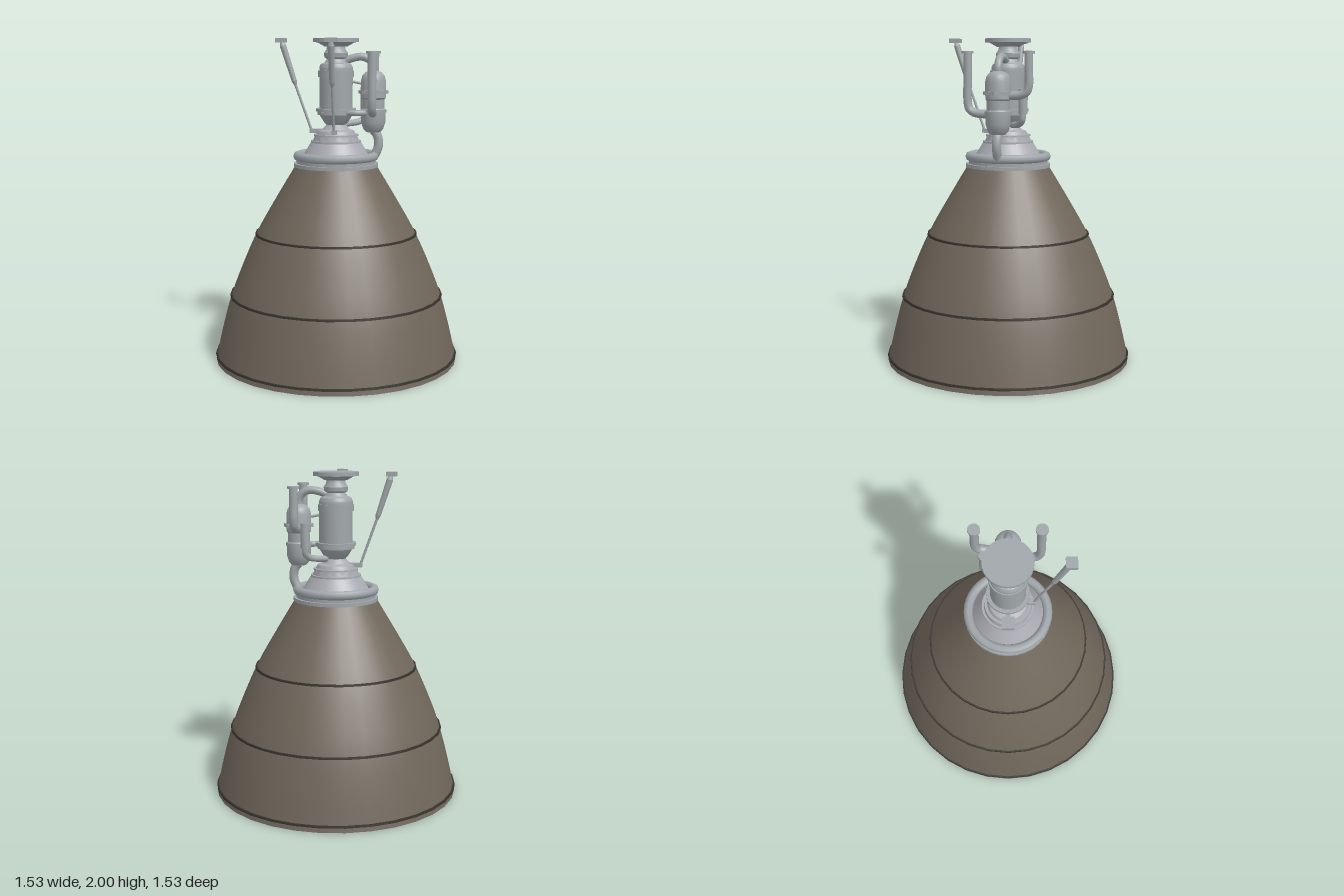
import * as THREE from 'three';
import { toCreasedNormals } from 'three/addons/utils/BufferGeometryUtils.js';

const flat = (name, color, side = THREE.FrontSide) => {
  const m = new THREE.MeshStandardMaterial({ color, side });
  m.name = name;
  return m;
};

export function createModel() {
  const bellBrown = flat('bell brown', 0x70675b, THREE.DoubleSide);
  const bandBrown = flat('dark band', 0x38332d);
  const steel = flat('steel', 0xa0a6aa);
  const paleSteel = flat('pale steel', 0xaaabb2);

  const model = new THREE.Group();
  model.name = 'rocketEngine';

  const add = (name, geometry, material, parent = model) => {
    const mesh = new THREE.Mesh(geometry, material);
    mesh.name = name;
    parent.add(mesh);
    return mesh;
  };
  const v2 = (pts) => pts.map(([r, y]) => new THREE.Vector2(r, y));
  const v3 = (pts) => pts.map((p) => new THREE.Vector3(...p));

  // Turned part: profile of [radius, y] from bottom to top
  const turned = (name, pts, material, x = 0, z = 0, sides = 28, parent = model) => {
    const g = toCreasedNormals(new THREE.LatheGeometry(v2(pts), sides), 0.5);
    const mesh = add(name, g, material, parent);
    mesh.position.set(x, 0, z);
    return mesh;
  };
  const disc = (name, r, y0, y1, material, x = 0, z = 0, sides = 28) =>
    turned(name, [[0, y0], [r, y0], [r, y1], [0, y1]], material, x, z, sides);
  const pipe = (name, pts, r, material = steel) =>
    add(name, new THREE.TubeGeometry(new THREE.CatmullRomCurve3(v3(pts), false, 'centripetal'), 28, r, 12), material);
  // Straight rod between two points, tapering from r0 to r1
  const rod = (name, a, b, r0, r1, parent) => {
    const [p, q] = v3([a, b]);
    const d = q.clone().sub(p);
    const mesh = add(name, new THREE.CylinderGeometry(r1, r0, d.length(), 12), steel, parent);
    mesh.position.copy(p).add(q).multiplyScalar(0.5);
    mesh.quaternion.setFromUnitVectors(new THREE.Vector3(0, 1, 0), d.normalize());
  };

  // Nozzle bell
  const bell = new THREE.SplineCurve(v2([
    [0.762, 0], [0.717, 0.2], [0.66, 0.41], [0.588, 0.6], [0.498, 0.8], [0.385, 1.0], [0.25, 1.225],
  ]));
  add('nozzleBell', new THREE.LatheGeometry(bell.getPoints(24), 32), bellBrown);

  // Stiffening bands around the bell
  for (const [r, y] of [[0.757, 0.035], [0.661, 0.412], [0.499, 0.798]]) {
    turned('bellBand', [[r, y - 0.006], [r + 0.008, y - 0.006], [r + 0.006, y + 0.006], [r - 0.006, y + 0.006]],
      bandBrown, 0, 0, 32);
  }

  // Collar and manifold ring
  disc('collarFlange', 0.262, 1.215, 1.237, steel, 0, 0, 32);
  disc('collar', 0.245, 1.237, 1.27, steel, 0, 0, 32);
  const manifold = add('manifoldRing', new THREE.TorusGeometry(0.238, 0.028, 8, 40), steel);
  manifold.rotation.x = Math.PI / 2;
  manifold.position.y = 1.28;

  // Stepped chamber dome
  turned('chamberDome', [
    [0.22, 1.26], [0.195, 1.30], [0.155, 1.365], [0.155, 1.376], [0.142, 1.376], [0.132, 1.405],
    [0.138, 1.405], [0.138, 1.415], [0.122, 1.415], [0.112, 1.437], [0.085, 1.445], [0.058, 1.475], [0, 1.475],
  ], paleSteel, 0, 0, 32);

  // Main pump
  turned('mainPump', [
    [0.072, 1.45], [0.06, 1.475], [0.075, 1.49], [0.103, 1.535], [0.103, 1.765], [0.11, 1.765],
    [0.11, 1.805], [0.103, 1.805], [0.103, 1.825], [0.093, 1.845], [0.07, 1.855], [0.056, 1.875],
    [0.072, 1.885], [0.075, 1.91], [0.06, 1.93], [0.056, 1.95], [0.07, 1.95], [0.118, 1.977], [0, 1.977],
  ], steel);
  for (const [r, y] of [[0.125, 1.565], [0.115, 1.545]]) disc('mainPumpFlange', r, y - 0.009, y + 0.009, steel);
  disc('topPlate', 0.14, 1.976, 2, steel);

  // Side pump
  const px = 0.23;
  turned('sidePump', [
    [0, 1.428], [0.045, 1.43], [0.062, 1.45], [0.075, 1.49], [0.075, 1.565], [0.068, 1.575], [0.068, 1.63],
    [0.076, 1.64], [0.076, 1.745], [0.068, 1.775], [0.05, 1.795], [0.025, 1.805], [0, 1.806],
  ], steel, px, 0, 20);
  disc('sidePumpBand', 0.092, 1.665, 1.685, steel, px, 0, 8);
  disc('sidePumpLowerBand', 0.08, 1.55, 1.568, steel, px, 0, 20);

  // Upright inlet pipes with end flanges, one on each side of the side pump
  for (const [name, s, y] of [['frontInlet', 1, 1.555], ['rearInlet', -1, 1.665]]) {
    pipe(name + 'Pipe', [
      [px, 1.915, 0.187 * s], [px, 1.8, 0.187 * s], [px, y + 0.055, 0.187 * s], [px, y + 0.018, 0.173 * s],
      [px, y, 0.135 * s], [px, y - 0.005, 0.05 * s],
    ], 0.026);
    disc(name + 'Flange', 0.036, 1.908, 1.922, steel, px, 0.187 * s, 16);
  }

  // Pipes linking the pumps and the manifold
  pipe('crossoverPipe', [[0.05, 1.86, 0], [0.1, 1.88, 0], [0.16, 1.888, 0], [0.205, 1.87, 0], [px, 1.83, 0], [px, 1.78, 0]], 0.024);
  pipe('outletPipe', [[px, 1.44, 0], [0.25, 1.42, 0], [0.262, 1.385, 0], [0.262, 1.34, 0], [0.24, 1.285, 0]], 0.028);
  pipe('linkPipe', [[0.07, 1.55, 0.075], [0.13, 1.55, 0.085], [0.17, 1.55, 0.065], [0.21, 1.55, 0.02]], 0.018);
  rod('upperLink', [0.09, 1.74, 0], [0.17, 1.725, 0], 0.008, 0.008, model);

  // Small accumulator behind the pumps
  disc('accumulator', 0.028, 1.55, 1.7, steel, 0.17, -0.138, 16);
  pipe('accumulatorPipe', [[0.17, 1.56, -0.138], [0.168, 1.515, -0.132], [0.145, 1.49, -0.11], [0.05, 1.475, -0.04]], 0.02);

  // Steering actuators: one to the right, one to the front
  for (const [name, turn] of [['rightActuator', 0], ['frontActuator', Math.PI / 2]]) {
    const arm = new THREE.Group();
    arm.name = name;
    arm.rotation.y = turn;
    model.add(arm);
    rod('actuatorBody', [-0.258, 1.74, 0], [-0.327, 1.955, 0], 0.016, 0.02, arm);
    rod('actuatorTip', [-0.327, 1.955, 0], [-0.336, 1.983, 0], 0.02, 0.009, arm);
    rod('actuatorTaper', [-0.25, 1.715, 0], [-0.258, 1.74, 0], 0.009, 0.016, arm);
    rod('actuatorRod', [-0.15, 1.432, 0], [-0.25, 1.715, 0], 0.008, 0.008, arm);
    add('actuatorMount', new THREE.BoxGeometry(0.064, 0.026, 0.064), steel, arm).position.set(-0.338, 1.987, 0);
    add('actuatorBracket', new THREE.BoxGeometry(0.09, 0.024, 0.03), steel, arm).position.set(-0.118, 1.434, 0);
  }

  return model;
}
